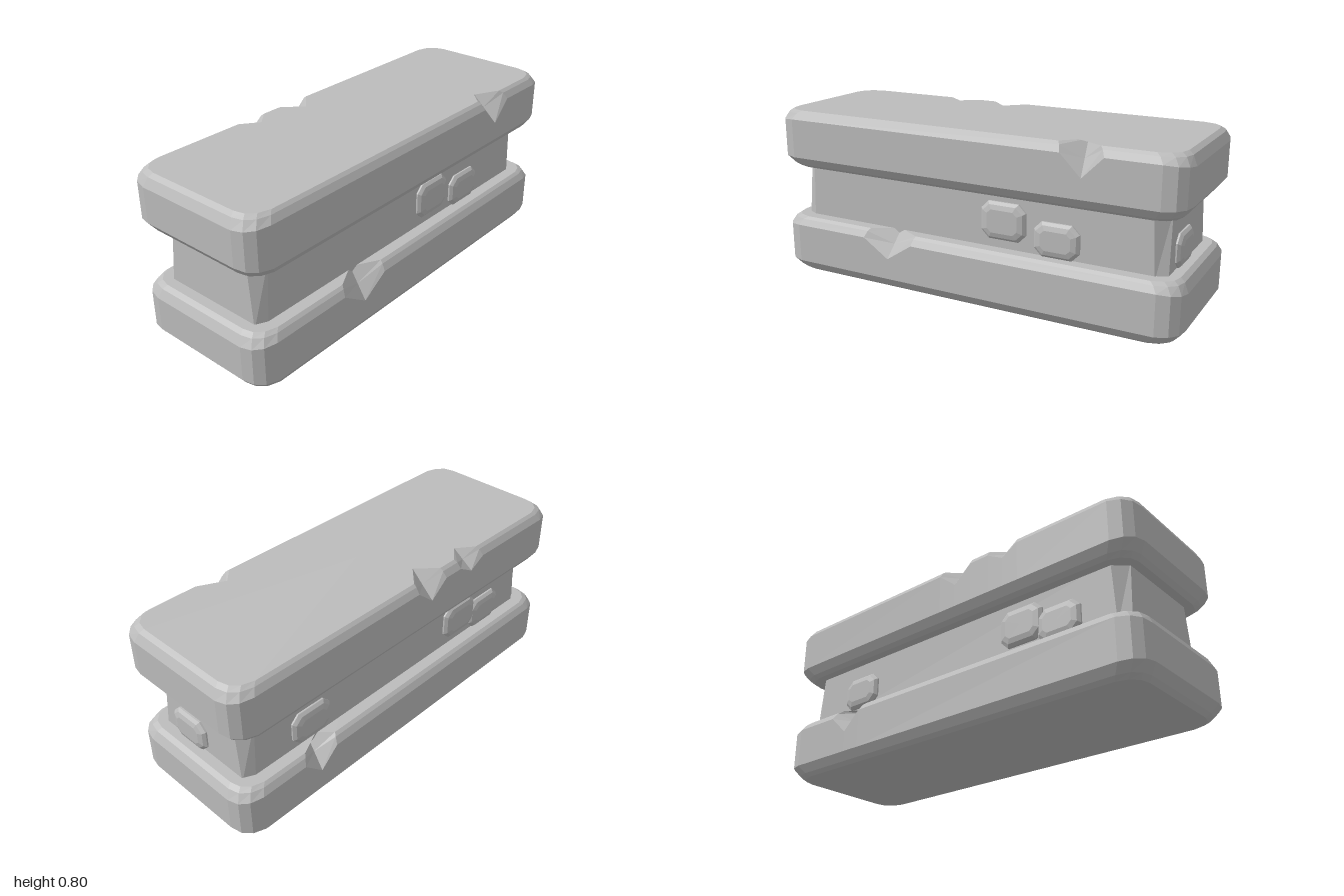
import * as THREE from 'three';

const stone = new THREE.MeshStandardMaterial({ color: 0xbcbcbc });
stone.name = 'grey stone';

// Skin a stack of equal-length rings (counterclockwise about +y) and cap both ends, faceted.
function loft(rings) {
  const pos = [];
  const tri = (...pts) => pts.forEach((p) => pos.push(p.x, p.y, p.z));
  const n = rings[0].length;
  const middle = (ring) => new THREE.Vector3(0, ring[0].y, 0);
  const first = rings[0], last = rings[rings.length - 1];
  for (let j = 0; j < n; j++) {
    const k = (j + 1) % n;
    for (let i = 0; i + 1 < rings.length; i++) {
      const a = rings[i], b = rings[i + 1];
      tri(a[j], a[k], b[k]);
      tri(a[j], b[k], b[j]);
    }
    tri(middle(first), first[k], first[j]);
    tri(middle(last), last[j], last[k]);
  }
  const geo = new THREE.BufferGeometry();
  geo.setAttribute('position', new THREE.Float32BufferAttribute(pos, 3));
  geo.computeVertexNormals();
  return geo;
}

function addMesh(parent, geo, name) {
  const mesh = new THREE.Mesh(geo, stone);
  mesh.name = name;
  parent.add(mesh);
  return mesh;
}

// Bevelled corner of a slab, from the end face round to the long face: x, z, share of long side
const CORNER = [[1, 0.25, 0], [0.988, 0.302, 0.33], [0.955, 0.337, 0.67], [0.9, 0.355, 1]];
// Slab levels: height at the ends, height at the long sides, inset in x, inset in z
const LEVELS = [
  [0, 0, 0.05, 0.045], [0.02, 0.015, 0.03, 0.025], [0.06, 0.052, 0, 0],
  [0.22, 0.235, 0, 0], [0.26, 0.263, 0.02, 0.018], [0.275, 0.275, 0.04, 0.032],
];

// Slab with V-shaped chips in its upper edges; chip = { x, side, w, depth, tip }
function slabGeometry(chips) {
  const corner = (sx, sz) => CORNER.map(([x, z, t]) => ({ x: x * sx, z: z * sz, t }));
  const edge = (side) => chips
    .filter((c) => c.side === side)
    .sort((a, b) => (a.x - b.x) * side)
    .flatMap((c) => [-1, 0, 1].map((s) => (
      { x: c.x + s * c.w * side, z: 0.355 * side, t: 1, chip: s === 0 ? c : null })));
  const outline = [
    ...corner(-1, 1), ...edge(1), ...corner(1, 1).reverse(),
    ...corner(1, -1), ...edge(-1), ...corner(-1, -1).reverse(),
  ];
  return loft(LEVELS.map(([yEnd, yLong, ix, iz], level) => outline.map(({ x, z, t, chip }) => {
    const p = new THREE.Vector3(
      x * (1 - ix), THREE.MathUtils.lerp(yEnd, yLong, t), z * (1 - iz / 0.355));
    if (chip && level >= 3) {
      // straight groove from the tip on the face to the deepest point on top
      const f = (level - 3) / 2;
      p.y = THREE.MathUtils.lerp(chip.tip, 0.275, f);
      p.z = chip.side * (0.355 - chip.depth * f);
    }
    return p;
  })));
}

// Octagonal ring with cut corners
function octagon(hx, hz, cx, cz, y) {
  return [
    [-hx + cx, hz], [hx - cx, hz], [hx, hz - cz], [hx, -hz + cz],
    [hx - cx, -hz], [-hx + cx, -hz], [-hx, -hz + cz], [-hx, hz - cz],
  ].map(([x, z]) => new THREE.Vector3(x, y, z));
}

// Rounded brick face, growing out along +z from a buried base
function brickGeometry(w, h) {
  return loft([
    octagon(w / 2, h / 2, 0.035, 0.035, -0.03),
    octagon(w / 2, h / 2, 0.035, 0.035, 0.008),
    octagon(w / 2 - 0.012, h / 2 - 0.012, 0.032, 0.03, 0.02),
    octagon(w / 2 - 0.035, h / 2 - 0.033, 0.02, 0.018, 0.027),
  ]).rotateX(Math.PI / 2);
}

export function createModel() {
  const group = new THREE.Group();
  group.name = 'stoneWall';

  // Lower and upper slabs with their chipped edges
  addMesh(group, slabGeometry([
    { x: -0.38, side: 1, w: 0.13, depth: 0.1, tip: 0.15 },
    { x: 0.58, side: -1, w: 0.09, depth: 0.12, tip: 0.15 },
  ]), 'lowerSlab');
  addMesh(group, slabGeometry([
    { x: 0.57, side: 1, w: 0.095, depth: 0.125, tip: 0.14 },
    { x: -0.37, side: -1, w: 0.08, depth: 0.095, tip: 0.19 },
    { x: -0.1, side: -1, w: 0.09, depth: 0.115, tip: 0.16 },
  ]), 'upperSlab').position.y = 0.52;

  // Recessed core, its cut corners widening a little towards the top
  addMesh(group, loft([
    octagon(0.915, 0.27, 0.05, 0.025, 0.25),
    octagon(0.91, 0.27, 0.06, 0.055, 0.54),
  ]), 'core');

  // Raised bricks: x, y, z, turn about y, width, height
  [
    [0.185, 0.4, 0.27, 0, 0.215, 0.17],
    [0.437, 0.352, 0.27, 0, 0.21, 0.155],
    [0.912, 0.348, 0.065, Math.PI / 2, 0.205, 0.15],
    [0.56, 0.37, -0.27, Math.PI, 0.21, 0.155],
    [-0.41, 0.4, -0.27, Math.PI, 0.215, 0.17],
    [-0.6, 0.355, -0.27, Math.PI, 0.21, 0.155],
  ].forEach(([x, y, z, turn, w, h], i) => {
    const brick = addMesh(group, brickGeometry(w, h), `brick${i + 1}`);
    brick.position.set(x, y, z);
    brick.rotation.y = turn;
  });

  return group;
}
